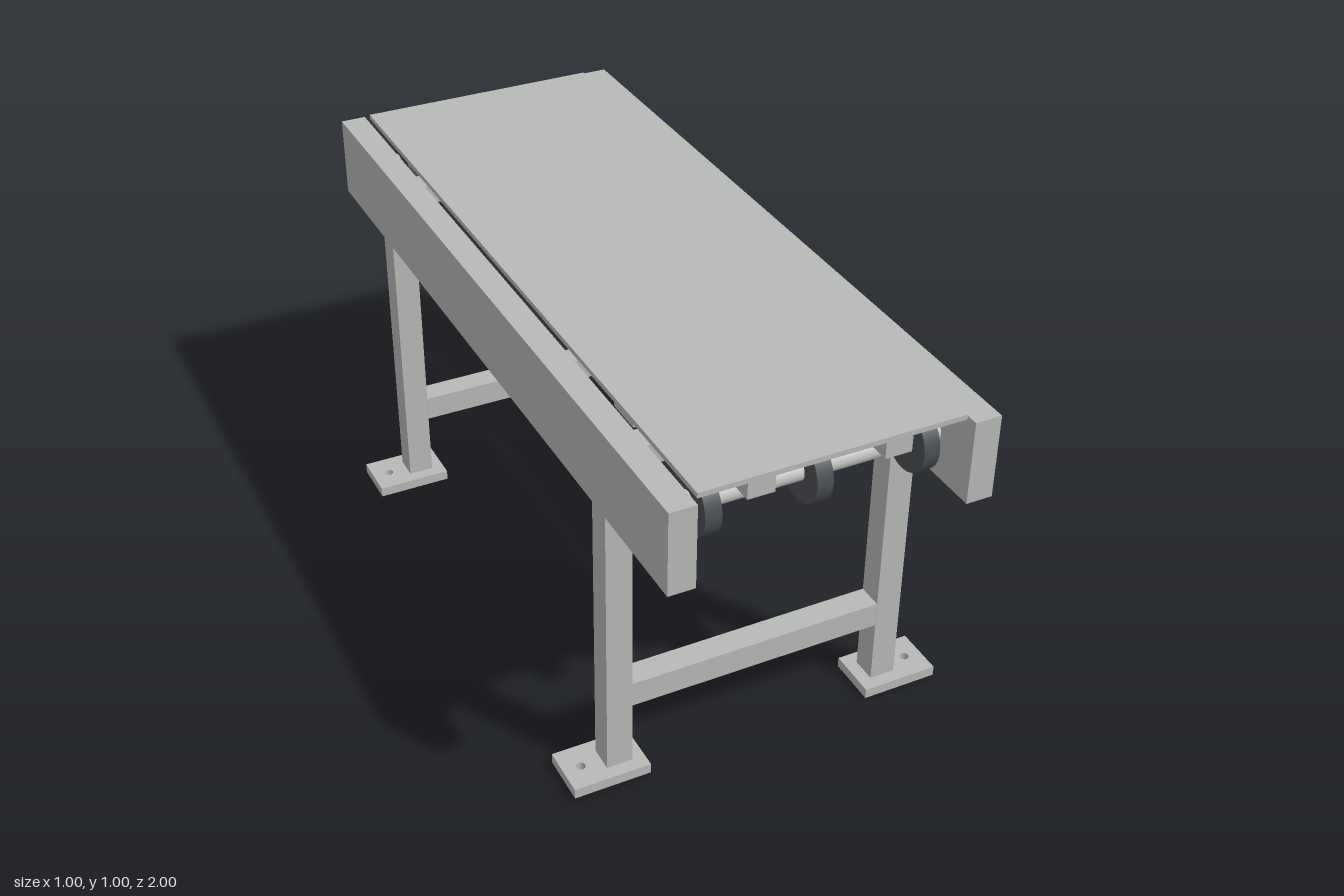
import * as THREE from 'three';

export function createModel() {
  const model = new THREE.Group();
  model.name = 'conveyorTable';

  const frameGrey = new THREE.MeshStandardMaterial({ color: 0xb8bab8 });
  frameGrey.name = 'frameGrey';
  const axleSilver = new THREE.MeshStandardMaterial({ color: 0xc6c8c6 });
  axleSilver.name = 'axleSilver';
  const wheelDark = new THREE.MeshStandardMaterial({ color: 0x4b4f54 });
  wheelDark.name = 'wheelDark';

  function add(name, geometry, material, parent = model) {
    const mesh = new THREE.Mesh(geometry, material);
    mesh.name = name;
    parent.add(mesh);
    return mesh;
  }

  // Box given by its lower and upper corners
  function box(name, x0, x1, y0, y1, z0, z1, parent) {
    const mesh = add(name, new THREE.BoxGeometry(x1 - x0, y1 - y0, z1 - z0), frameGrey, parent);
    mesh.position.set((x0 + x1) / 2, (y0 + y1) / 2, (z0 + z1) / 2);
  }

  // Cylinder lying along x
  function roller(name, radius, length, x, y, z, material, parent) {
    const geometry = new THREE.CylinderGeometry(radius, radius, length, 48).rotateZ(Math.PI / 2);
    add(name, geometry, material, parent).position.set(x, y, z);
  }

  // Foot plate with a bolt hole near its outer edge
  function footGeometry(side) {
    const shape = new THREE.Shape();
    shape.moveTo(-0.1, -0.067);
    shape.lineTo(0.1, -0.067);
    shape.lineTo(0.1, 0.067);
    shape.lineTo(-0.1, 0.067);
    shape.closePath();
    const hole = new THREE.Path();
    hole.absarc(side * 0.054, 0, 0.012, 0, Math.PI * 2, true);
    shape.holes.push(hole);
    return new THREE.ExtrudeGeometry(shape, { depth: 0.027, bevelEnabled: false, curveSegments: 16 })
      .rotateX(-Math.PI / 2);
  }

  // Table plate
  box('topPlate', -0.325, 0.325, 0.987, 1, -0.98, 0.98);

  // Side beams and the rails carrying the plate
  for (const side of [-1, 1]) {
    const x = side * 0.3667;
    box('sideBeam', x - 0.0333, x + 0.0333, 0.773, 0.987, -1, 1);
    const r = side * 0.1667;
    box('supportRail', r - 0.0333, r + 0.0333, 0.933, 0.987, -0.965, 0.965);
  }

  for (const end of [-1, 1]) {
    // Leg frame
    const frame = new THREE.Group();
    frame.name = 'legFrame';
    model.add(frame);
    const z = end * 0.6667;
    const z0 = z - 0.0333, z1 = z + 0.0333;
    box('upperCrossbar', -0.333, 0.333, 0.88, 0.933, z0, z1, frame);
    box('lowerCrossbar', -0.333, 0.333, 0.2, 0.267, z0, z1, frame);
    for (const side of [-1, 1]) {
      const x = side * 0.3667;
      box('leg', x - 0.0333, x + 0.0333, 0.027, 0.773, z0, z1, frame);
      add('footPlate', footGeometry(side), frameGrey, frame).position.set(side * 0.4, 0, z);
    }

    // Axle with three wheels
    const axle = new THREE.Group();
    axle.name = 'wheelAxle';
    model.add(axle);
    roller('axle', 0.0265, 0.65, 0, 0.893, end * 0.867, axleSilver, axle);
    for (const x of [-0.267, 0, 0.267]) {
      roller('wheel', 0.08, 0.04, x, 0.893, end * 0.867, wheelDark, axle);
    }
  }

  return model;
}
